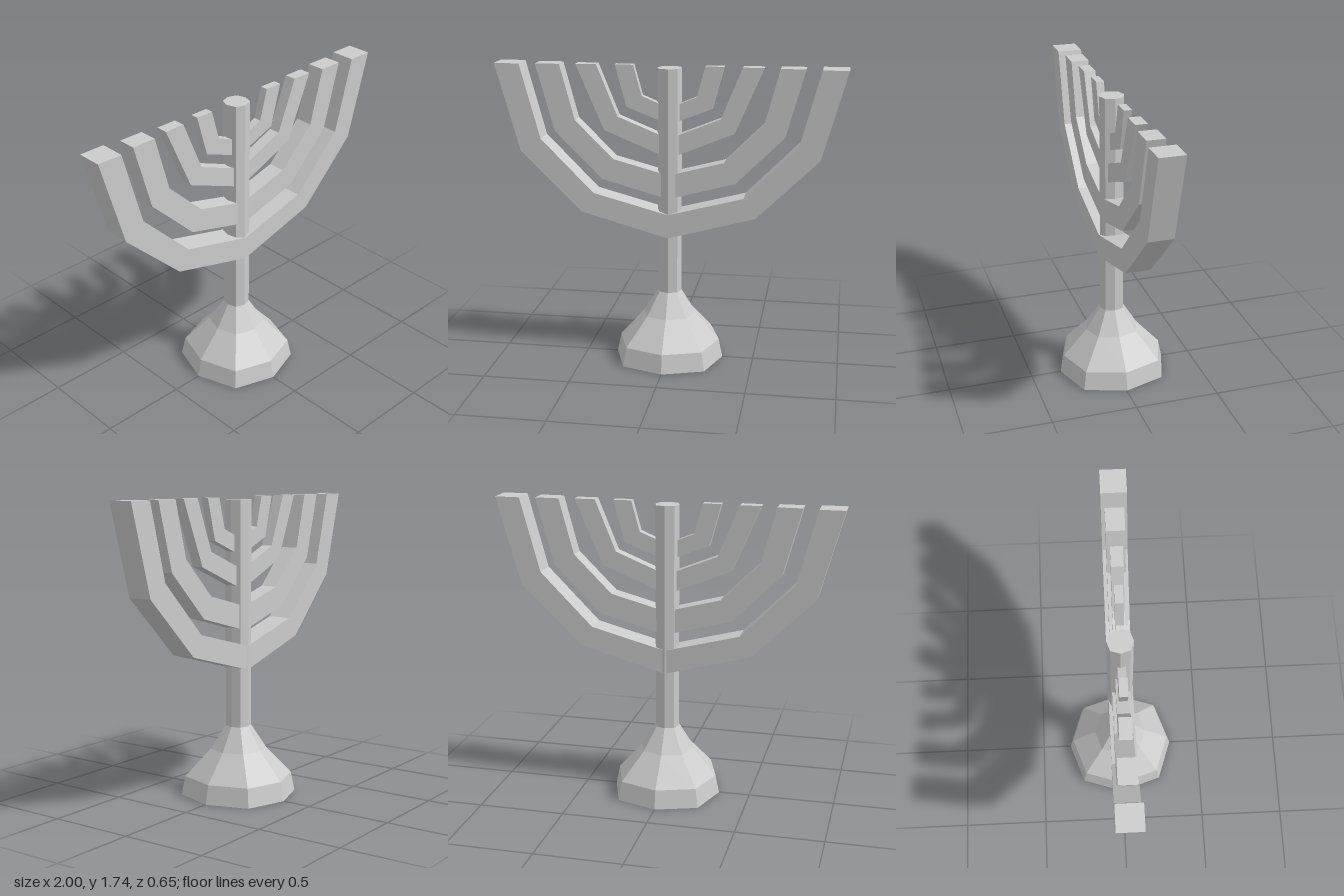
import * as THREE from 'three';

const material = new THREE.MeshStandardMaterial({ color: 0xcccccc, flatShading: true });

// Eight-sided turned part; corners on the diagonals sit slightly further out
function turned(name, profile) {
  const points = profile.map(([r, y]) => new THREE.Vector2(r, y));
  const geometry = new THREE.LatheGeometry(points, 8);
  const pos = geometry.attributes.position;
  for (let i = 0; i < pos.count; i++) {
    const diagonal = Math.abs(pos.getX(i) * pos.getZ(i)) > 1e-5;
    const s = diagonal ? 1.06 : 1;
    pos.setX(i, pos.getX(i) * s * 0.985);
    pos.setZ(i, pos.getZ(i) * s - 0.003);
  }
  geometry.computeVertexNormals();
  const mesh = new THREE.Mesh(geometry, material);
  mesh.name = name;
  return mesh;
}

// Mirrored pair of branches: outlines of the right half run from the centre to the tip
function branchPair(name, lower, upper, halfDepth) {
  const half = [...lower, ...[...upper].reverse()];
  const mirrored = half.slice(1, -1).reverse().map(([x, y]) => [-x, y]);
  const shape = new THREE.Shape([...half, ...mirrored].map(([x, y]) => new THREE.Vector2(x, y)));
  const geometry = new THREE.ExtrudeGeometry(shape, { depth: halfDepth * 2, bevelEnabled: false });
  geometry.translate(0, 0, -halfDepth + 0.002);
  const mesh = new THREE.Mesh(geometry, material);
  mesh.name = name;
  return mesh;
}

export function createModel() {
  const group = new THREE.Group();
  group.name = 'candelabrum';

  // Flared foot and central stem
  group.add(turned('base', [[0, 0], [0.323, 0], [0.3, 0.11], [0.157, 0.27], [0.07, 0.41]]));
  group.add(turned('stem', [[0.071, 0.405], [0.071, 1.725], [0, 1.725]]));

  // Four nested branch pairs, outermost first
  group.add(branchPair('outerBranches',
    [[0, 0.745], [0.505, 0.885], [0.86, 1.235], [1, 1.74]],
    [[0, 0.885], [0.435, 1.0], [0.74, 1.31], [0.855, 1.74]], 0.072));
  group.add(branchPair('secondBranches',
    [[0, 0.975], [0.385, 1.08], [0.66, 1.355], [0.765, 1.74]],
    [[0, 1.115], [0.32, 1.2], [0.54, 1.42], [0.625, 1.74]], 0.052));
  group.add(branchPair('thirdBranches',
    [[0, 1.21], [0.375, 1.365], [0.535, 1.74]],
    [[0, 1.325], [0.295, 1.445], [0.415, 1.74]], 0.034));
  group.add(branchPair('innerBranches',
    [[0, 1.405], [0.245, 1.5], [0.31, 1.74]],
    [[0, 1.5], [0.157, 1.565], [0.205, 1.74]], 0.023));

  return group;
}
